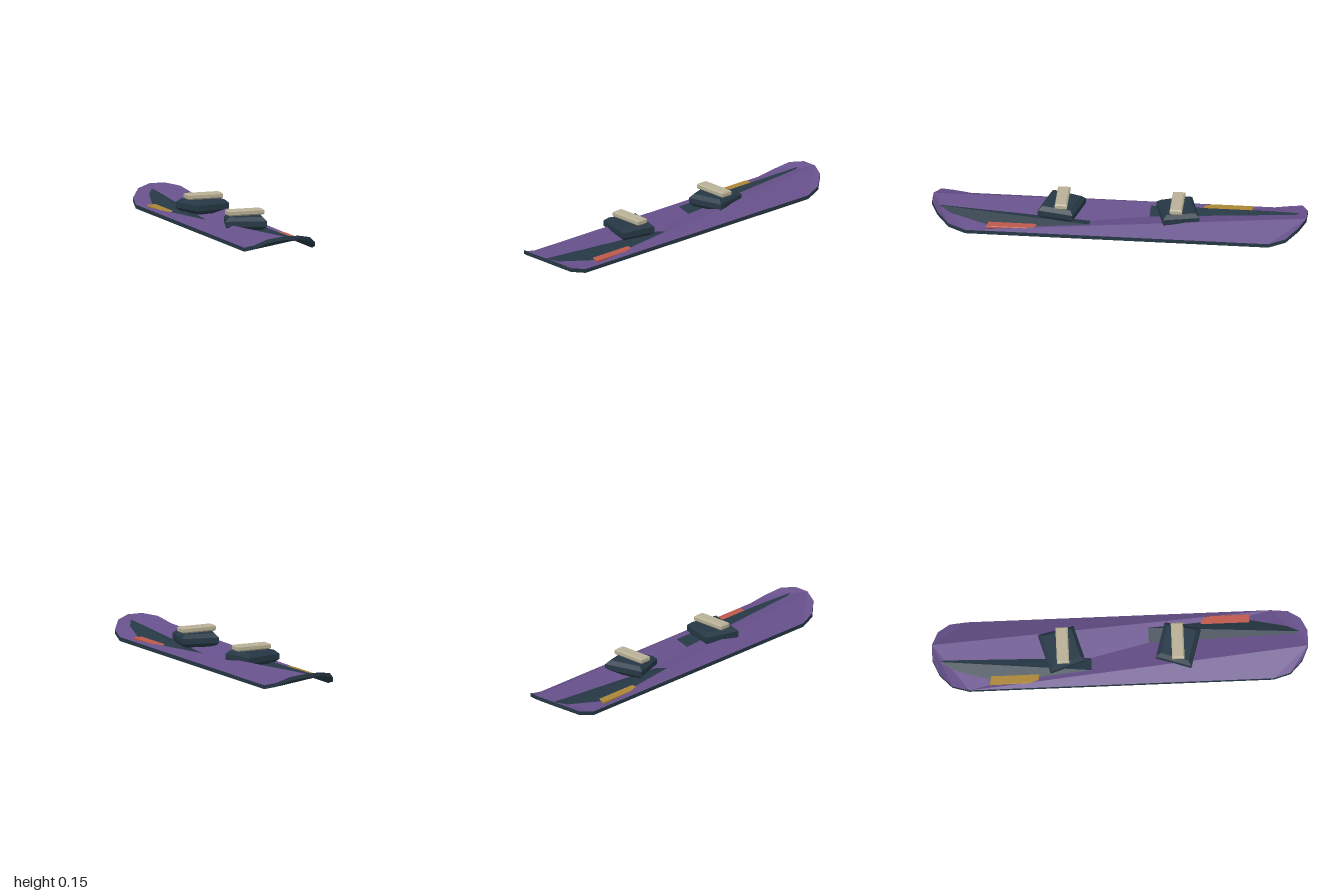
import * as THREE from 'three';

const mat = (color) => new THREE.MeshStandardMaterial({ color, flatShading: true, side: THREE.DoubleSide });
const purple = mat(0x66508a), dark = mat(0x263845), beige = mat(0xb8b096), red = mat(0xbd594b), gold = mat(0xab8636);

const THICK = 0.021;
// Quarter of the outline: [x, z, lift of the upturned tip]
const QUARTER = [[0.193, 0.81, 0], [0.175, 0.9, 0.024], [0.12, 0.965, 0.063], [0.043, 1, 0.08]];

function mesh(name, geometry, material) {
  const m = new THREE.Mesh(geometry, material);
  m.name = name;
  return m;
}

// Full outline ring: front right, front left, back left, back right
function outline() {
  const rev = [...QUARTER].reverse();
  return [
    ...QUARTER,
    ...rev.map(([x, z, y]) => [-x, z, y]),
    ...QUARTER.map(([x, z, y]) => [-x, -z, y]),
    ...rev.map(([x, z, y]) => [x, -z, y]),
  ];
}

function surface(points, index) {
  const g = new THREE.BufferGeometry();
  g.setAttribute('position', new THREE.Float32BufferAttribute(points.flat(), 3));
  g.setIndex(index);
  const flat = g.toNonIndexed();
  flat.computeVertexNormals();
  return flat;
}

// Board: a top and a base skin, each made of two fans from the tips, and a sidewall
function board() {
  const group = new THREE.Group();
  group.name = 'board';
  const ring = outline(), n = ring.length;
  const low = ring.map(([x, z, y]) => [x, y, z]);
  const high = ring.map(([x, z, y]) => [x, y + THICK, z]);
  const fans = [[4, 5, 6, 7, 8, 0, 1, 2, 3], [12, 13, 14, 15, 0, 8, 9, 10, 11]];
  const mirror = (i) => (i < 8 ? 7 - i : 23 - i);
  const top = [], base = [], wall = [];
  for (const f of fans) {
    for (let i = 1; i < f.length - 1; i++) {
      top.push(f[0], f[i + 1], f[i]);
      // the base skin is the mirror image of the top skin
      base.push(mirror(f[0]), mirror(f[i + 1]), mirror(f[i]));
    }
  }
  for (let i = 0; i < n; i++) {
    const j = (i + 1) % n;
    wall.push(i, i + n, j, j, i + n, j + n);
  }
  group.add(
    mesh('deck', surface(high, top), purple),
    mesh('base', surface(low, base), dark),
    mesh('sidewall', surface([...low, ...high], wall), dark),
  );
  return group;
}

// Slab with chamfered edges from a plan outline of [x, z] points
function slab(points, bottom, top, chamfer) {
  const shape = new THREE.Shape(points.map(([x, z]) => new THREE.Vector2(x, z)));
  const g = new THREE.ExtrudeGeometry(shape, {
    depth: top - bottom - 2 * chamfer, bevelEnabled: true, bevelSegments: 1,
    bevelSize: chamfer, bevelThickness: chamfer, bevelOffset: -chamfer,
  });
  g.rotateX(Math.PI / 2);
  g.translate(0, top - chamfer, 0);
  return g;
}

// Binding: turned foot plate with a straight strap across it
function binding(name, s) {
  const group = new THREE.Group();
  group.name = name;
  const plate = mesh('footPlate', slab(
    [[-0.1, -0.095 * s], [0.1, -0.095 * s], [0.11, 0.1 * s], [-0.11, 0.1 * s]], 0.045, 0.115, 0.02), dark);
  plate.rotation.y = -0.27 * s;
  const strap = mesh('strap', slab(
    [[-0.1, -0.033], [0.1, -0.033], [0.1, 0.033], [-0.1, 0.033]], 0.116, 0.147, 0.007), beige);
  group.add(plate, strap);
  group.position.z = 0.307 * s;
  return group;
}

export function createModel() {
  const model = new THREE.Group();
  model.name = 'snowboard';
  model.add(board(), binding('frontBinding', 1), binding('backBinding', -1));

  // Colour patches set into the board, one per end
  const patch = [[0.17, 0.7], [0.17, 0.49], [0.156, 0.44], [-0.04, 0.4], [-0.1, 0.66]];
  [['frontPatch', red, 1], ['backPatch', gold, -1]].forEach(([name, material, s]) => {
    const outlinePoints = patch.map(([x, z]) => [x * s, z * s]);
    model.add(mesh(name, slab(outlinePoints, 0.022, 0.037, 0.003), material));
  });
  return model;
}
